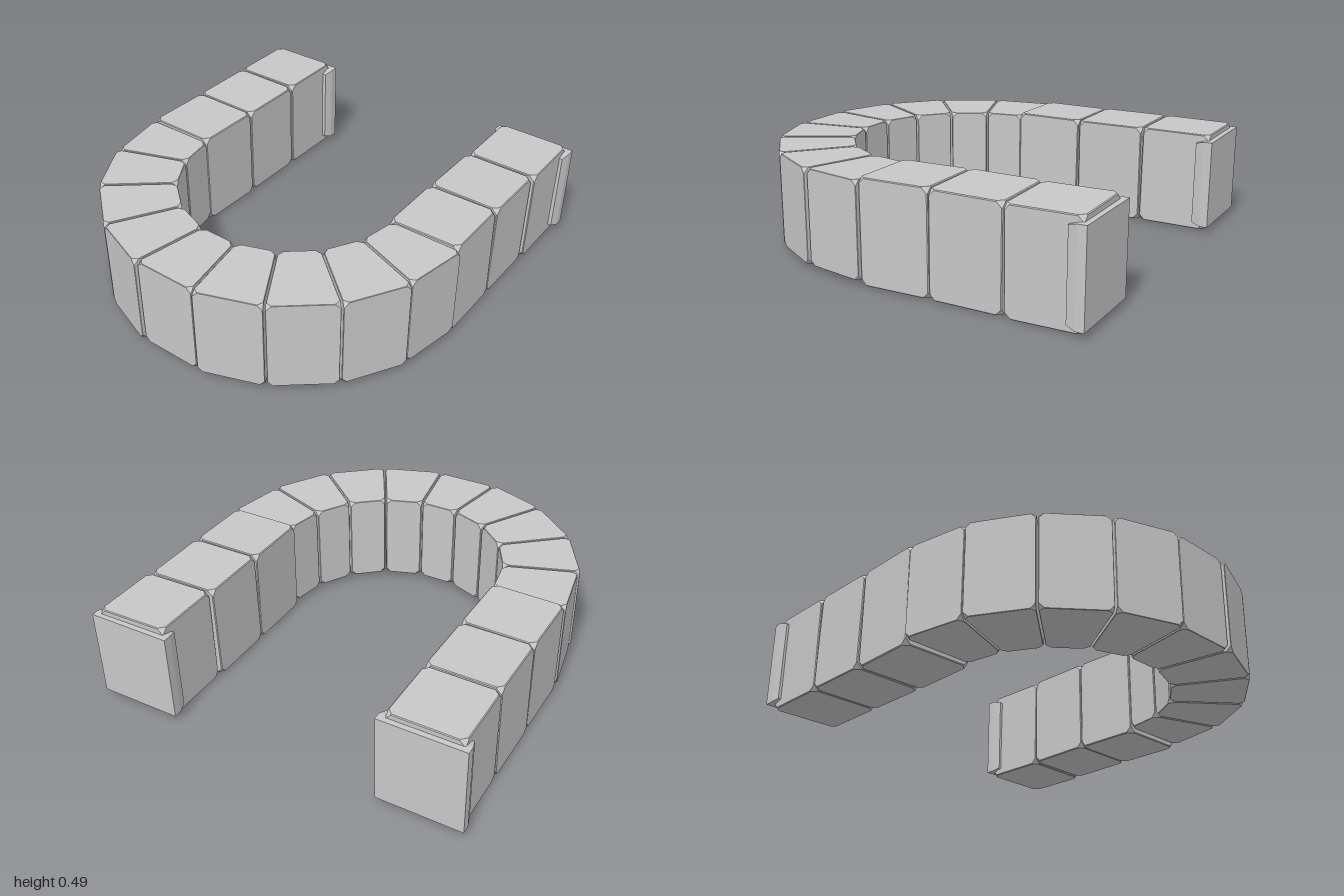
import * as THREE from 'three';
import { ConvexGeometry } from 'three/addons/geometries/ConvexGeometry.js';

const stone = new THREE.MeshStandardMaterial({ color: 0xc7c7c7 });
stone.name = 'grey stone';

// Points of a box with clipped corners (c) and finely worn edges (e)
function clippedBox(w, h, d, c, e) {
  const half = [w / 2, h / 2, d / 2];
  const points = [];
  for (const sx of [-1, 1]) for (const sy of [-1, 1]) for (const sz of [-1, 1]) {
    for (const [a, b, f] of [[0, e, c], [0, c, e], [e, 0, c], [c, 0, e], [e, c, 0], [c, e, 0]]) {
      points.push(new THREE.Vector3(sx * (half[0] - a), sy * (half[1] - b), sz * (half[2] - f)));
    }
  }
  return points;
}

function addStone(group, name, points) {
  const mesh = new THREE.Mesh(new ConvexGeometry(points), stone);
  mesh.name = name;
  group.add(mesh);
  return mesh;
}

export function createModel() {
  const group = new THREE.Group();
  group.name = 'stoneArch';

  // Nine tapered stones around the half circle; those between crown and ends stand slightly proud
  const centreZ = 0.075, inner = 0.555;
  const step = Math.PI / 9;
  for (let i = -4; i <= 4; i++) {
    const outer = i === 0 || Math.abs(i) === 4 ? 0.91 : 0.92;
    const points = clippedBox(2, 0.455, outer - inner, 0.024, 0.002);
    for (const p of points) {
      const radius = p.z + (inner + outer) / 2;
      const inset = 1 - Math.abs(p.x); // corner clipping stays constant along the taper
      p.x = Math.sign(p.x) * (radius * Math.tan(step / 2) - 0.005 - inset);
      p.z = radius;
    }
    const wedge = addStone(group, 'archStone', points);
    wedge.position.set(0, 0.255, centreZ);
    wedge.rotation.y = i * step;
  }

  // Three slightly uneven blocks in each leg: [x, z, pitch, yaw, roll]
  const blocks = [
    [0.73, -0.095, 0.006, 0.012, 0.008],
    [0.728, -0.445, -0.008, 0.008, -0.006],
    [0.735, -0.803, 0.006, 0.012, -0.01],
    [-0.737, -0.095, -0.004, -0.01, 0.004],
    [-0.737, -0.447, 0.004, -0.004, -0.005],
    [-0.737, -0.8, -0.005, 0.003, 0.006],
  ];
  for (const [x, z, pitch, yaw, roll] of blocks) {
    const block = addStone(group, 'legBlock', clippedBox(0.355, 0.488, 0.345, 0.027, 0.004));
    block.position.set(x, 0.2505, z);
    block.rotation.set(pitch, yaw, roll);
  }

  // Wide, low slab with a bevelled front rim at the foot of each leg
  for (const side of [-1, 1]) {
    const points = [];
    for (const [w, h, z] of [[0.207, 0.218, -0.0425], [0.207, 0.218, -0.002], [0.193, 0.205, 0.0425]]) {
      for (const sx of [-1, 1]) for (const sy of [-1, 1]) points.push(new THREE.Vector3(sx * w, sy * h, z));
    }
    const slab = addStone(group, 'footSlab', points);
    slab.position.set(side * 0.735, 0.25, -0.9575);
  }
  return group;
}
